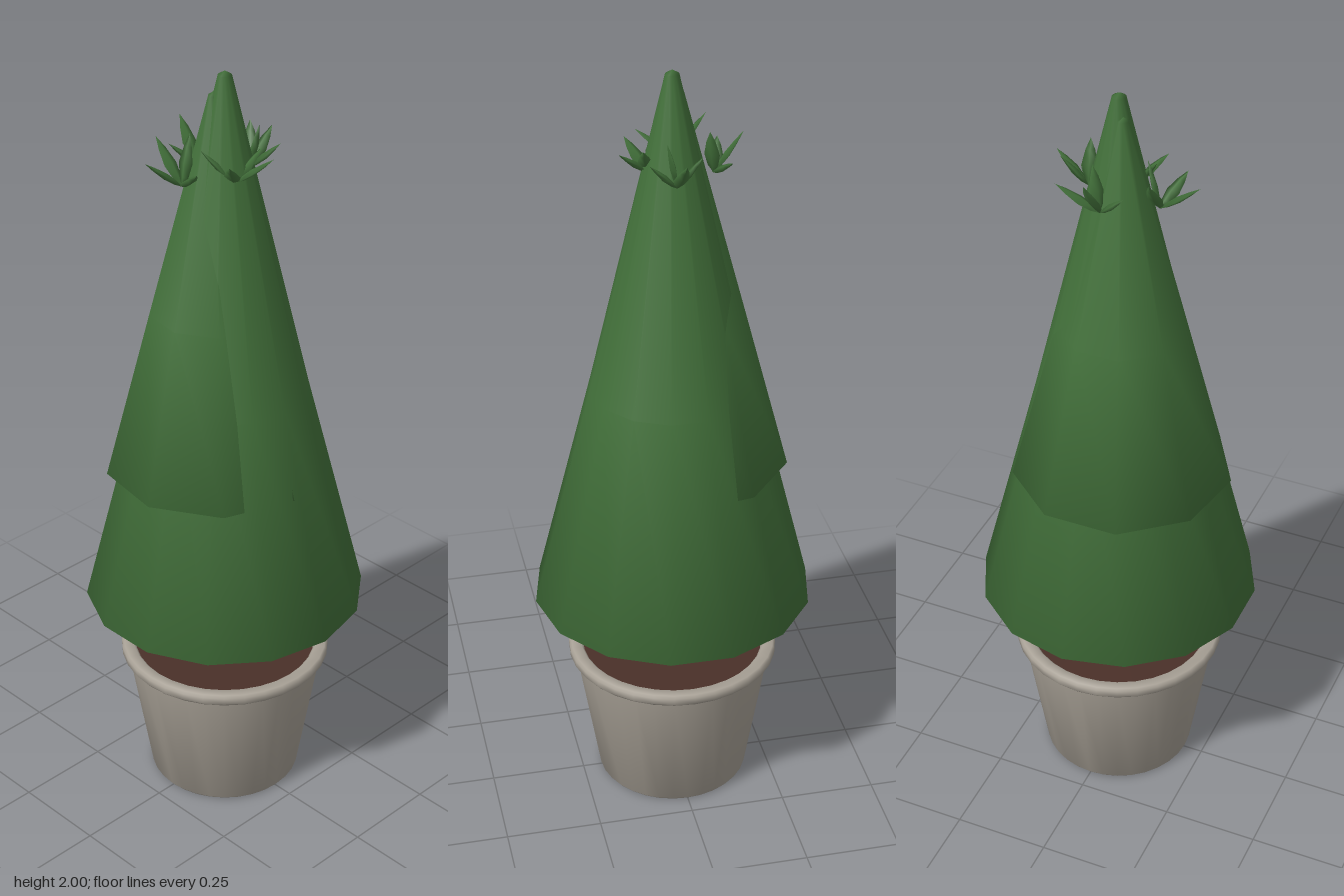
import * as THREE from 'three';
import { mergeVertices, toCreasedNormals } from 'three/addons/utils/BufferGeometryUtils.js';

const mat = (color) => new THREE.MeshStandardMaterial({ color });
const green = mat(0x42703a), clay = mat(0xa8a196), bark = mat(0x6e5245), earth = mat(0x4a3028);

function lathe(profile, sides) {
  return new THREE.LatheGeometry(profile.map(([r, y]) => new THREE.Vector2(r, y)), sides);
}

// Lathe with shared corners, so shading flows softly over every edge
function softLathe(profile, sides) {
  const g = lathe(profile, sides);
  g.deleteAttribute('uv');
  g.deleteAttribute('normal');
  const merged = mergeVertices(g, 1e-5);
  merged.computeVertexNormals();
  return merged;
}

function add(parent, name, geometry, material) {
  const mesh = new THREE.Mesh(geometry, material);
  mesh.name = name;
  parent.add(mesh);
  return mesh;
}

export function createModel() {
  const model = new THREE.Group();
  model.name = 'pottedTree';

  // Tapered pot with a rolled rim, open at the top
  const pot = toCreasedNormals(lathe([
    [0, 0], [0.195, 0], [0.2, 0.006], [0.26, 0.37], [0.272, 0.37], [0.277, 0.376], [0.277, 0.394],
    [0.271, 0.4], [0.246, 0.4], [0.24, 0.394], [0.235, 0.35],
  ], 32), 0.9);
  add(model, 'pot', pot, clay);

  // Soil and trunk
  add(model, 'soil', new THREE.CircleGeometry(0.242, 32).rotateX(-Math.PI / 2), earth).position.y = 0.37;
  add(model, 'trunk', new THREE.CylinderGeometry(0.027, 0.031, 0.34, 10), bark).position.y = 0.51;

  // Main foliage cone and the smaller one overlapping it at the back left
  add(model, 'foliage', softLathe(
    [[0, 0.565], [0.365, 0.565], [0.212, 1.17], [0.017, 1.99], [0, 2]], 14), green);
  add(model, 'backFoliage', softLathe(
    [[0, 0.95], [0.282, 0.95], [0.165, 1.385], [0.014, 1.94], [0, 1.95]], 9), green)
    .position.set(-0.018, 0, -0.018);

  // Leaf: flattened four-sided spindle growing along +y, unit length
  const leaf = lathe([[0, 0], [0.1, 0.18], [0.15, 0.45], [0.09, 0.75], [0, 1]], 4).scale(1, 1, 0.4);

  // Tufts: a root point and the leaf tips around it
  const tufts = [
    { root: [-0.115, 1.735, -0.025], tips: [[-0.22, 1.82, -0.04], [-0.12, 1.84, -0.11], [-0.15, 1.8, 0.06], [-0.085, 1.86, -0.03]] },
    { root: [0.005, 1.735, -0.1], tips: [[0.015, 1.84, -0.17], [-0.065, 1.8, -0.125], [0.11, 1.8, -0.12], [0.03, 1.85, -0.085]] },
    { root: [0.08, 1.735, 0.005], tips: [[0.13, 1.83, -0.045], [0.16, 1.82, 0], [0.11, 1.81, 0.078], [0.085, 1.85, 0.03]] },
    { root: [-0.02, 1.74, 0.055], tips: [[0.028, 1.81, 0.135], [-0.085, 1.81, 0.1], [-0.09, 1.83, 0.01], [0.045, 1.82, 0.08]] },
  ];
  const up = new THREE.Vector3(0, 1, 0);
  for (const { root, tips } of tufts) {
    const tuft = new THREE.Group();
    tuft.name = 'leafTuft';
    tuft.position.set(...root);
    for (const tip of tips) {
      const dir = new THREE.Vector3(...tip).sub(tuft.position);
      const len = dir.length();
      const mesh = add(tuft, 'leaf', leaf, green);
      // Broad side faces upward
      const yAxis = dir.normalize();
      const xAxis = new THREE.Vector3().crossVectors(yAxis, up).normalize();
      const zAxis = new THREE.Vector3().crossVectors(xAxis, yAxis);
      mesh.quaternion.setFromRotationMatrix(new THREE.Matrix4().makeBasis(xAxis, yAxis, zAxis));
      mesh.scale.set(0.13, len, 0.13);
    }
    model.add(tuft);
  }
  return model;
}
